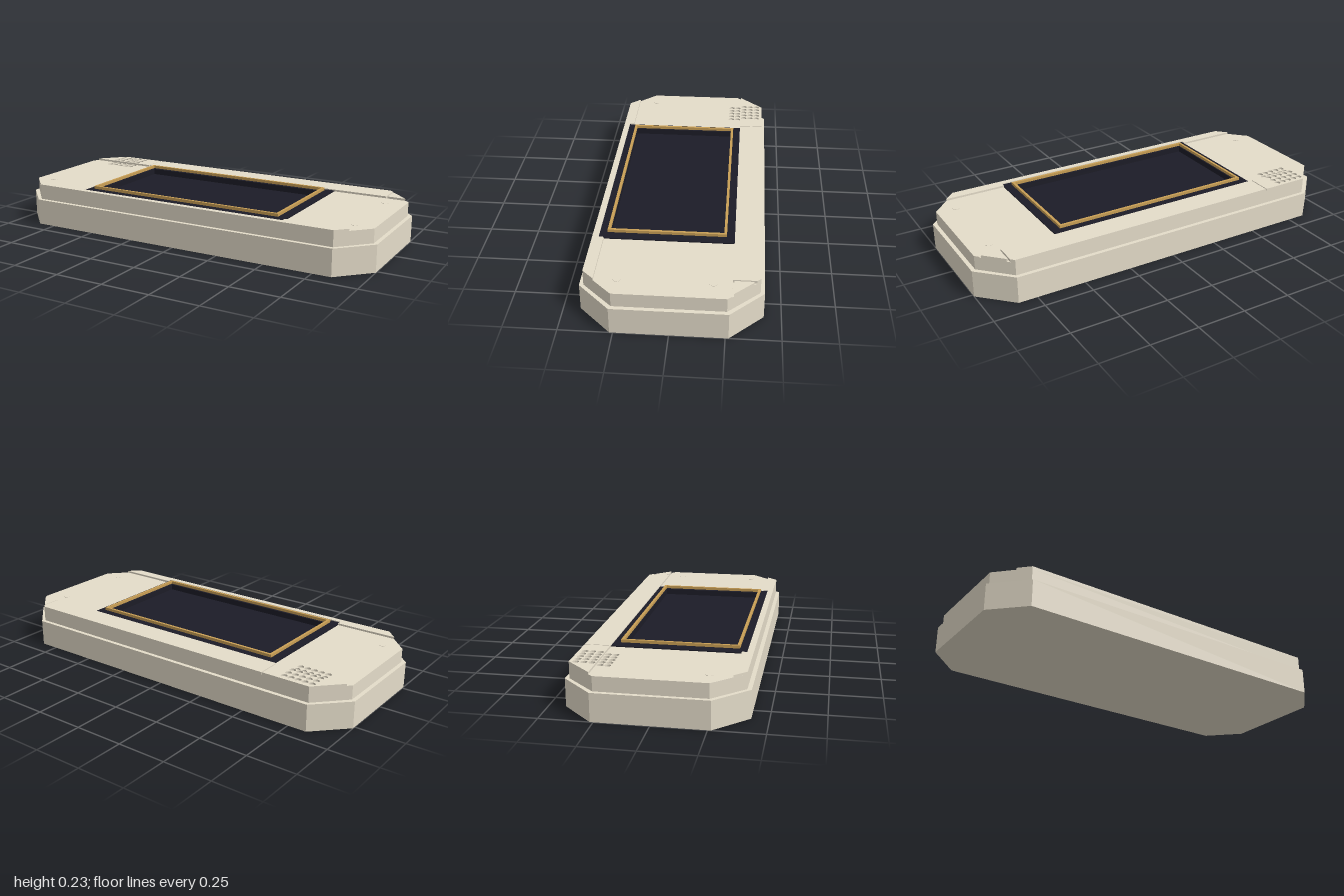
import * as THREE from 'three';

const material = (name, color) => {
  const m = new THREE.MeshStandardMaterial({ color });
  m.name = name;
  return m;
};

// Plan outline in x and z, with optional holes, extruded between two heights
function slab(name, points, bottom, top, mat, holes = []) {
  const toVec = ([x, z]) => new THREE.Vector2(x, z);
  const shape = new THREE.Shape(points.map(toVec));
  shape.holes = holes.map((hole) => new THREE.Path(hole.map(toVec)));
  const geo = new THREE.ExtrudeGeometry(shape, { depth: top - bottom, bevelEnabled: false });
  geo.rotateX(Math.PI / 2);
  geo.translate(0, top, 0);
  const mesh = new THREE.Mesh(geo, mat);
  mesh.name = name;
  return mesh;
}

const rect = (x, z0, z1) => [[-x, z0], [x, z0], [x, z1], [-x, z1]];

// Rectangle with its four corners cut off
const octagon = (x, z, cx, cz) => [
  [-cx, -z], [cx, -z], [x, -cz], [x, cz], [cx, z], [-cx, z], [-x, cz], [-x, -cz],
];

const circle = (x, z, r) => Array.from({ length: 14 }, (_, i) => {
  const a = (i / 14) * Math.PI * 2;
  return [x + r * Math.cos(a), z + r * Math.sin(a)];
});

// Five columns of speaker holes for the given rows
const speakerRows = (rows) => rows.flatMap((z) =>
  [0, 1, 2, 3, 4].map((i) => circle(-0.837 + i * 0.0365, z, 0.016)));

export function createModel() {
  const group = new THREE.Group();
  group.name = 'handheldDevice';
  const beige = material('beige casing', 0xe4dcc9);
  const dark = material('dark screen', 0x1c1c27);
  const brass = material('brass trim', 0xc99f55);

  const backRows = speakerRows([-0.3685, -0.3315, -0.2945]);
  const frontRows = speakerRows([-0.2575, -0.222]);
  const opening = rect(0.522, -0.224, 0.319);
  const wellHole = rect(0.54, -0.242, 0.337);

  // Two-step casing, open for the screen well and the speaker holes
  group.add(slab('lowerCase', octagon(1, 0.42, 0.845, 0.265), 0, 0.135, beige));
  group.add(slab('upperCase', octagon(0.98, 0.4, 0.84, 0.255), 0.135, 0.2, beige,
    [wellHole, ...frontRows]));

  // Deck with a corner notch and the front rows of speaker holes
  group.add(slab('deck', [
    [-0.84, -0.4], [0.84, -0.4], [0.857, -0.382], [0.857, -0.275], [0.961, -0.275],
    [0.98, -0.255], [0.98, 0.255], [0.84, 0.4], [-0.84, 0.4], [-0.98, 0.255], [-0.98, -0.255],
  ], 0.2, 0.205, beige, [wellHole, ...frontRows]));
  group.add(slab('speakerFloor', [
    [-0.87, -0.28], [-0.67, -0.28], [-0.67, -0.2], [-0.87, -0.2],
  ], 0.14, 0.195, beige));

  // Raised back strip: main ridge, speaker pad across a groove, and corner button
  group.add(slab('rearRidge', [
    [-0.588, -0.4], [0.84, -0.4], [0.857, -0.382], [0.857, -0.275], [-0.588, -0.275],
  ], 0.205, 0.215, beige));
  group.add(slab('speakerPad', [
    [-0.593, -0.4], [-0.84, -0.4], [-0.961, -0.275], [-0.593, -0.275],
  ], 0.205, 0.215, beige, backRows));
  group.add(slab('cornerButton', [
    [0.863, -0.37], [0.869, -0.37], [0.955, -0.281], [0.863, -0.281],
  ], 0.2, 0.214, beige));

  // Raised front strip, cut around the screen
  group.add(slab('frontRidge', [
    [-0.893, 0.345], [-0.575, 0.345], [-0.575, 0.37], [0.575, 0.37], [0.575, 0.345],
    [0.893, 0.345], [0.84, 0.4], [-0.84, 0.4],
  ], 0.205, 0.215, beige));

  // Sunken screen, its surround, and the slim frame above
  group.add(slab('screen', wellHole, 0.14, 0.18, dark));
  group.add(slab('screenWell', wellHole, 0.18, 0.205, dark, [opening]));
  group.add(slab('screenBezel', rect(0.575, -0.275, 0.37), 0.205, 0.21, dark, [opening]));
  group.add(slab('screenFrame', rect(0.535, -0.237, 0.332), 0.2155, 0.23, brass, [opening]));

  // Low screw caps near the deck corners
  for (const [x, z] of [[-0.88, 0.24], [0.88, 0.24], [0.88, -0.19]]) {
    group.add(slab('screwCap', circle(x, z, 0.017), 0.205, 0.2065, beige));
  }

  return group;
}
